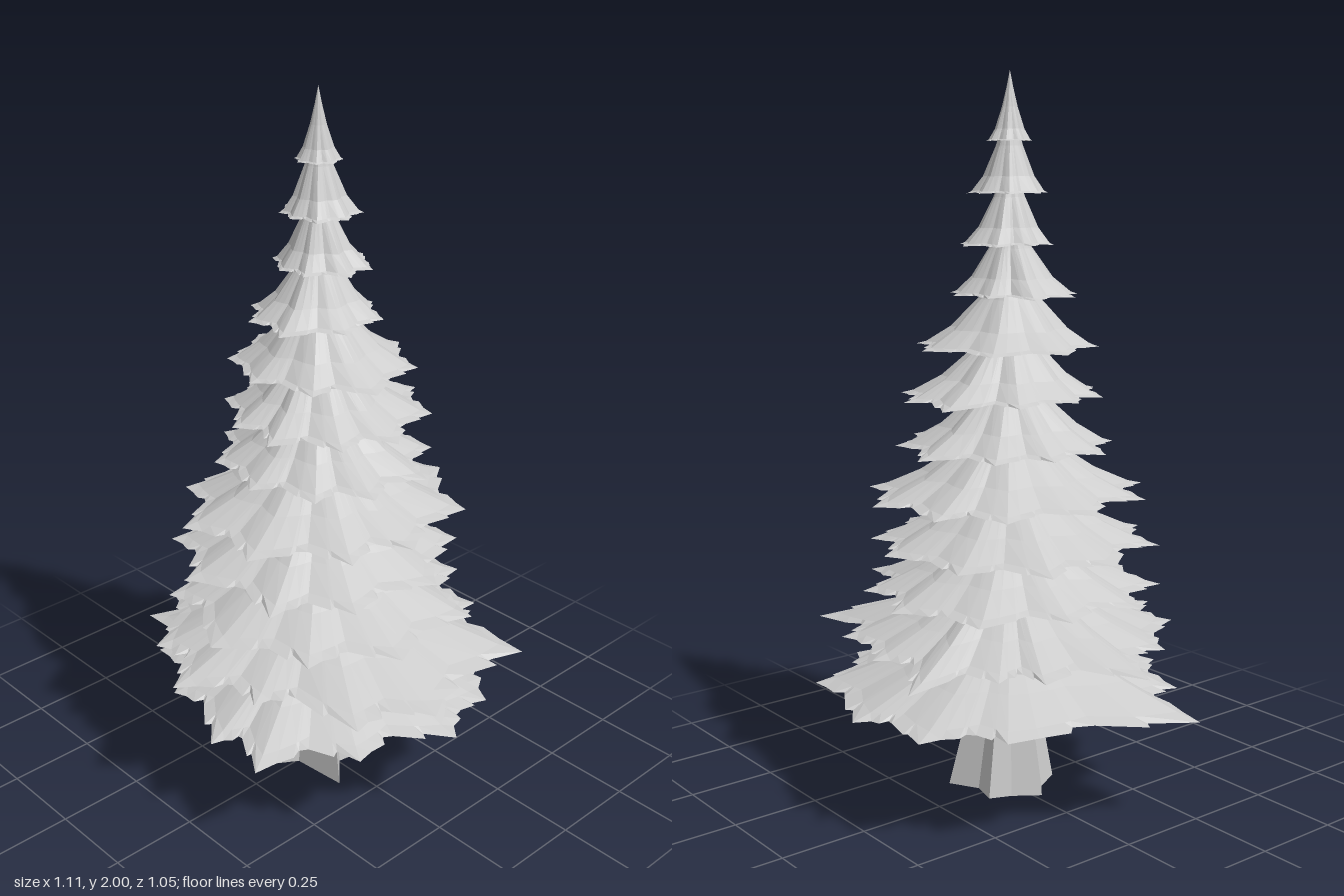
import * as THREE from 'three';

// Seeded random numbers in 0..1
function makeRandom(seed) {
  let s = seed;
  return () => {
    s = (s * 16807) % 2147483647;
    return s / 2147483647;
  };
}

// Skin a list of closed rings, ordered from top to bottom
function loft(rings) {
  const n = rings[0].length, index = [];
  for (let k = 0; k < rings.length - 1; k++) {
    for (let j = 0; j < n; j++) {
      const a = k * n + j, c = k * n + (j + 1) % n;
      if (k > 0) index.push(a, c, a + n);
      index.push(c, c + n, a + n);
    }
  }
  const geometry = new THREE.BufferGeometry();
  geometry.setAttribute('position', new THREE.Float32BufferAttribute(rings.flat(2), 3));
  geometry.setIndex(index);
  const flat = geometry.toNonIndexed();
  flat.computeVertexNormals();
  return flat;
}

// Rim samples between two branch tips: [fraction, notch depth]
const RIM = [[0, 0], [0.2, 0.05], [0.24, 0], [0.5, 0], [0.62, 0.05], [0.66, 0], [0.84, 0.03]];

// Tip positions [x, z] of the two widest tiers
const WIDE_TIPS = [
  [[0.53, -0.02], [0.43, 0.25], [0.27, 0.48], [0.1, 0.49], [-0.15, 0.42], [-0.36, 0.31],
    [-0.555, 0.2], [-0.38, -0.31], [-0.23, -0.48], [0, -0.53], [0.33, -0.44], [0.47, -0.21]],
  [[0.55, 0.09], [0.46, 0.29], [0.2, 0.42], [-0.02, 0.52], [-0.21, 0.43], [-0.4, 0.22],
    [-0.53, 0.04], [-0.41, -0.21], [-0.33, -0.3], [-0.23, -0.51], [0.02, -0.45],
    [0.25, -0.4], [0.5, -0.32]],
];

// Remaining tiers: reach towards +x, -x, +z, -z
const REACH = [
  [0.46, 0.38, 0.42, 0.39], [0.38, 0.385, 0.42, 0.385], [0.39, 0.36, 0.4, 0.4],
  [0.315, 0.285, 0.285, 0.32], [0.3, 0.25, 0.27, 0.31], [0.26, 0.25, 0.24, 0.25],
  [0.185, 0.185, 0.2, 0.15], [0.145, 0.125, 0.12, 0.14], [0.11, 0.105, 0.1, 0.11],
  [0.063, 0.06, 0.063, 0.063],
];

const TAU = Math.PI * 2;

// Branch tips of a tier as [angle, radius]
function tierTips(i, random) {
  if (i < 2) {
    return WIDE_TIPS[i].map(([x, z], k) => {
      const a = Math.atan2(z, x);
      return [k > 0 && a < 0 ? a + TAU : a, Math.hypot(x, z)];
    });
  }
  const [px, nx, pz, nz] = REACH[i - 2];
  const count = i < 7 ? 10 : 8, start = random();
  return Array.from({ length: count }, (_, k) => {
    const a = (k + start + (random() - 0.5) * 0.3) / count * TAU;
    const c = Math.cos(a), s = Math.sin(a);
    const r = (c > 0 ? px : nx) * c * c + (s > 0 ? pz : nz) * s * s;
    return [a, r * (0.99 + 0.08 * random())];
  });
}

// Pleated skirt, rounder near the trunk, whose tips droop below the valleys
function tierGeometry(i, random) {
  const rimY = 0.306 + i * 0.1372;
  const height = i === 11 ? 2 - rimY : 0.255;
  const power = 1.2 + 0.045 * i;
  const tips = tierTips(i, random);
  const reach = Math.max(...tips.map(([, r]) => r));
  const rim = [];
  tips.forEach(([a0, r0], k) => {
    const [a, r1] = tips[(k + 1) % tips.length];
    const a1 = k === tips.length - 1 ? a + TAU : a;
    const valley = Math.min(r0, r1) * (i < 2 ? 0.87 : 0.82) * (1 + 0.06 * random());
    const mid = 0.4 + 0.2 * random();
    for (const [u, notch] of RIM) {
      const bend = u < 0.5 ? u * 2 * mid : mid + (u - 0.5) * 2 * (1 - mid);
      const r = u < 0.5 ? r0 + (valley - r0) * u * 2 : valley + (r1 - valley) * (u - 0.5) * 2;
      rim.push({ a: a0 + (a1 - a0) * bend, r, notch: notch * (0.5 + random()) });
    }
  });
  const mean = rim.reduce((sum, p) => sum + p.r, 0) / rim.length;
  const rings = [0, 0.15, 0.35, 0.65, 0.9, 1].map((t) => rim.map((p) => {
    const star = mean + (p.r - mean) * (0.2 + 0.8 * t);
    const r = star * t * (t === 1 ? 1 - p.notch : 1);
    const y = rimY + height * Math.pow(1 - t, power) + (reach - p.r) * 0.13 * t * t;
    return [Math.cos(p.a) * r, y, Math.sin(p.a) * r];
  }));
  return loft(rings);
}

// Footprint of the trunk: five root tips alternating with hollows, as [x, z]
const FOOT = [[0.165, 0.07], [0.005, 0.085], [-0.028, 0.137], [-0.07, 0.06], [-0.12, 0.02],
  [-0.07, -0.05], [-0.045, -0.11], [0.03, -0.09], [0.11, -0.135], [0.088, -0.005]];

// Tapered trunk, each level a scaled footprint
function trunkGeometry() {
  const levels = [[1.75, 0], [1.1, 0.12], [0.65, 0.34], [0.31, 0.57], [0, 1], [0, 0]];
  return loft(levels.map(([y, scale]) => FOOT.map(([x, z]) => [x * scale, y, z * scale])));
}

export function createModel() {
  const grey = new THREE.MeshStandardMaterial({ color: 0xcccccc, flatShading: true, side: THREE.DoubleSide });
  grey.name = 'light grey';
  const group = new THREE.Group();
  group.name = 'firTree';

  const trunk = new THREE.Mesh(trunkGeometry(), grey);
  trunk.name = 'trunk';
  group.add(trunk);

  // Twelve overlapping branch tiers
  const random = makeRandom(4711);
  for (let i = 0; i < 12; i++) {
    const tier = new THREE.Mesh(tierGeometry(i, random), grey);
    tier.name = `branchTier${i + 1}`;
    group.add(tier);
  }
  return group;
}
